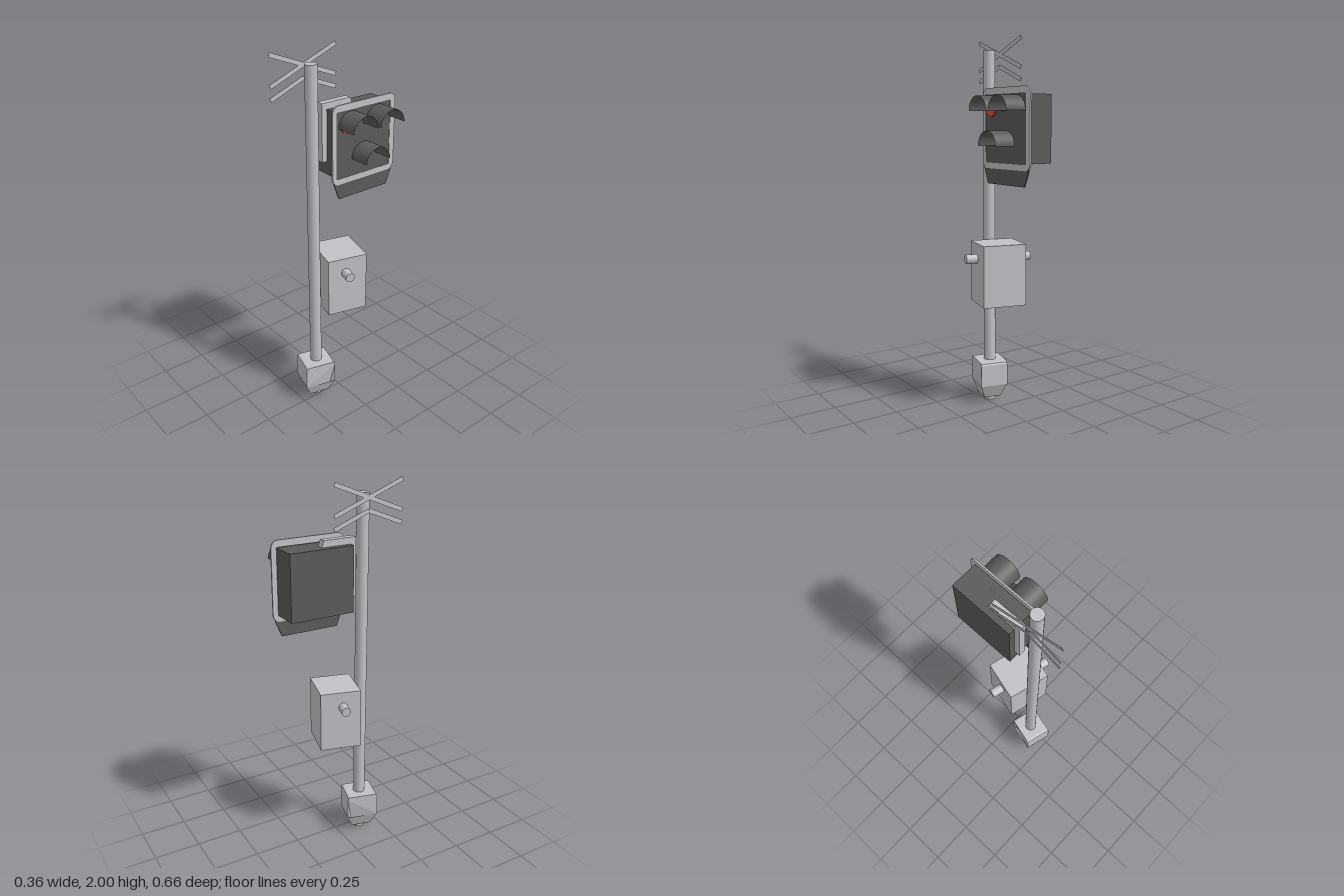
import * as THREE from 'three';

const light = new THREE.MeshStandardMaterial({ color: 0xc1c2c6, side: THREE.DoubleSide });
light.name = 'lightGrey';
const dark = new THREE.MeshStandardMaterial({ color: 0x5a5a5a, side: THREE.DoubleSide });
dark.name = 'darkGrey';
const red = new THREE.MeshStandardMaterial({ color: 0xd2523c });
red.name = 'lampRed';

const TWIST = -Math.PI / 12;

function add(parent, name, geo, mat, x = 0, y = 0, z = 0) {
  const mesh = new THREE.Mesh(geo, mat);
  mesh.name = name;
  mesh.position.set(x, y, z);
  parent.add(mesh);
  return mesh;
}

// Extrudes a (z, y) shape along x, ending at xMax
function slab(shape, depth, xMax) {
  const geo = new THREE.ExtrudeGeometry(shape, { depth, bevelEnabled: false, curveSegments: 8 });
  return geo.rotateY(-Math.PI / 2).translate(xMax, 0, 0);
}

function roundedRect(path, z0, z1, y0, y1, r) {
  path.moveTo(z0 + r, y0);
  path.absarc(z1 - r, y0 + r, r, -Math.PI / 2, 0);
  path.absarc(z1 - r, y1 - r, r, 0, Math.PI / 2);
  path.absarc(z0 + r, y1 - r, r, Math.PI / 2, Math.PI);
  path.absarc(z0 + r, y0 + r, r, Math.PI, Math.PI * 1.5);
  return path;
}

const polygon = (pts) => new THREE.Shape(pts.map(([a, b]) => new THREE.Vector2(a, b)));

function makeSignal() {
  const g = new THREE.Group();
  g.name = 'signalHead';
  add(g, 'signalHousing', new THREE.BoxGeometry(0.146, 0.342, 0.35), dark, -0.032, 1.52, -0.13);

  // Backing board with tapered lower apron
  const board = polygon([[0.033, 1.235], [0.063, 1.315], [0.063, 1.71], [-0.321, 1.71], [-0.321, 1.315], [-0.287, 1.235]]);
  add(g, 'backingBoard', slab(board, 0.006, 0.047), dark);

  // Pale rounded border
  const border = roundedRect(new THREE.Shape(), -0.333, 0.075, 1.315, 1.728, 0.04);
  border.holes.push(roundedRect(new THREE.Path(), -0.301, 0.05, 1.345, 1.695, 0.004));
  add(g, 'boardBorder', slab(border, 0.009, 0.049), light);

  // Half-round visors, axis along x
  const visor = new THREE.CylinderGeometry(0.077, 0.077, 0.118, 24, 1, true, Math.PI, Math.PI);
  visor.rotateZ(-Math.PI / 2);
  for (const [y, z] of [[1.61, -0.042], [1.61, -0.216], [1.435, -0.127]]) {
    add(g, 'lampVisor', visor, dark, 0.104, y, z);
  }
  const lamp = new THREE.CylinderGeometry(0.045, 0.045, 0.009, 24).rotateZ(-Math.PI / 2);
  add(g, 'redLamp', lamp, red, 0.058, 1.625, -0.014);

  // Angled strap over the housing
  const strap = polygon([
    [-0.118, 1.69], [-0.105, 1.725], [0.075, 1.725], [0.075, 1.42], [0.045, 1.42], [0.045, 1.69],
  ]);
  add(g, 'mountingBracket', slab(strap, 0.038, -0.034), light);
  return g;
}

function makeCross() {
  const g = new THREE.Group();
  g.name = 'crossingBoards';
  const boards = [
    [[0.328, 1.988], [-0.062, 1.837]],
    [[0.328, 1.837], [-0.062, 1.988]],
    [[0.328, 1.774], [0.133, 1.85]],
    [[0.133, 1.85], [-0.062, 1.774]],
  ];
  for (const [[z0, y0], [z1, y1]] of boards) {
    const dz = z1 - z0, dy = y1 - y0;
    const geo = new THREE.BoxGeometry(0.002, 0.022, Math.hypot(dz, dy));
    add(g, 'crossBoard', geo, light, -0.097, (y0 + y1) / 2, (z0 + z1) / 2).rotation.x = -Math.atan(dy / dz);
  }
  return g;
}

function makeCabinet() {
  const g = new THREE.Group();
  g.name = 'equipmentCabinet';
  g.position.set(0.004, 0.755, 0.001);
  g.rotation.y = TWIST;
  add(g, 'cabinetBody', new THREE.BoxGeometry(0.235, 0.328, 0.22), light);
  const stub = new THREE.CylinderGeometry(0.025, 0.025, 0.07, 20).rotateZ(Math.PI / 2);
  for (const s of [-1, 1]) add(g, 'sideStub', stub, light, s * 0.145 - 0.002, 0.08, 0.012);
  return g;
}

// Foot block, tapering towards the ground
function makeFoot() {
  const profile = polygon([
    [-0.054, 0.025], [0.054, 0.025], [0.0875, 0.1], [0.0875, 0.218], [0.083, 0.228], [0.073, 0.233],
    [-0.073, 0.233], [-0.083, 0.228], [-0.0875, 0.218], [-0.0875, 0.1],
  ]);
  const geo = slab(profile, 0.152, 0.076);
  const p = geo.attributes.position;
  for (let i = 0; i < p.count; i++) {
    if (p.getY(i) < 0.05) p.setX(i, p.getX(i) * 0.62);
  }
  // Side faces are cut at the taper line so that they stay planar
  const sides = [-1, 1].map((s) => [[0.62, 0.054, 0.025], [1, 0.0875, 0.1]].flatMap(
    ([k, z, y]) => [[s * 0.076 * k, y, -z], [s * 0.076 * k, y, z]]));
  const verts = [];
  const tri = (a, b, c) => verts.push(...a, ...b, ...c);
  for (const [a, b, c, d] of sides) { tri(a, b, d); tri(a, d, c); }
  const taper = new THREE.BufferGeometry();
  taper.setAttribute('position', new THREE.Float32BufferAttribute(verts, 3));
  taper.computeVertexNormals();
  // Outward normals on the +x side need the opposite winding
  const n = taper.attributes.normal, q = taper.attributes.position;
  for (let i = 0; i < q.count; i += 3) {
    if (n.getX(i) * q.getX(i) < 0) {
      const t = [q.getX(i), q.getY(i), q.getZ(i)];
      q.setXYZ(i, q.getX(i + 1), q.getY(i + 1), q.getZ(i + 1));
      q.setXYZ(i + 1, ...t);
    }
  }
  taper.computeVertexNormals();
  geo.computeVertexNormals();
  const g = new THREE.Group();
  g.name = 'foot';
  g.position.set(-0.032, 0, 0.14);
  g.rotation.y = TWIST;
  add(g, 'footBlock', geo, light);
  add(g, 'footTaper', taper, light);
  return g;
}

export function createModel() {
  const model = new THREE.Group();
  model.name = 'crossingSignal';
  add(model, 'pole', new THREE.CylinderGeometry(0.032, 0.032, 1.93, 24), light, -0.033, 0.965, 0.138);
  model.add(makeSignal(), makeCross(), makeCabinet(), makeFoot());
  return model;
}
